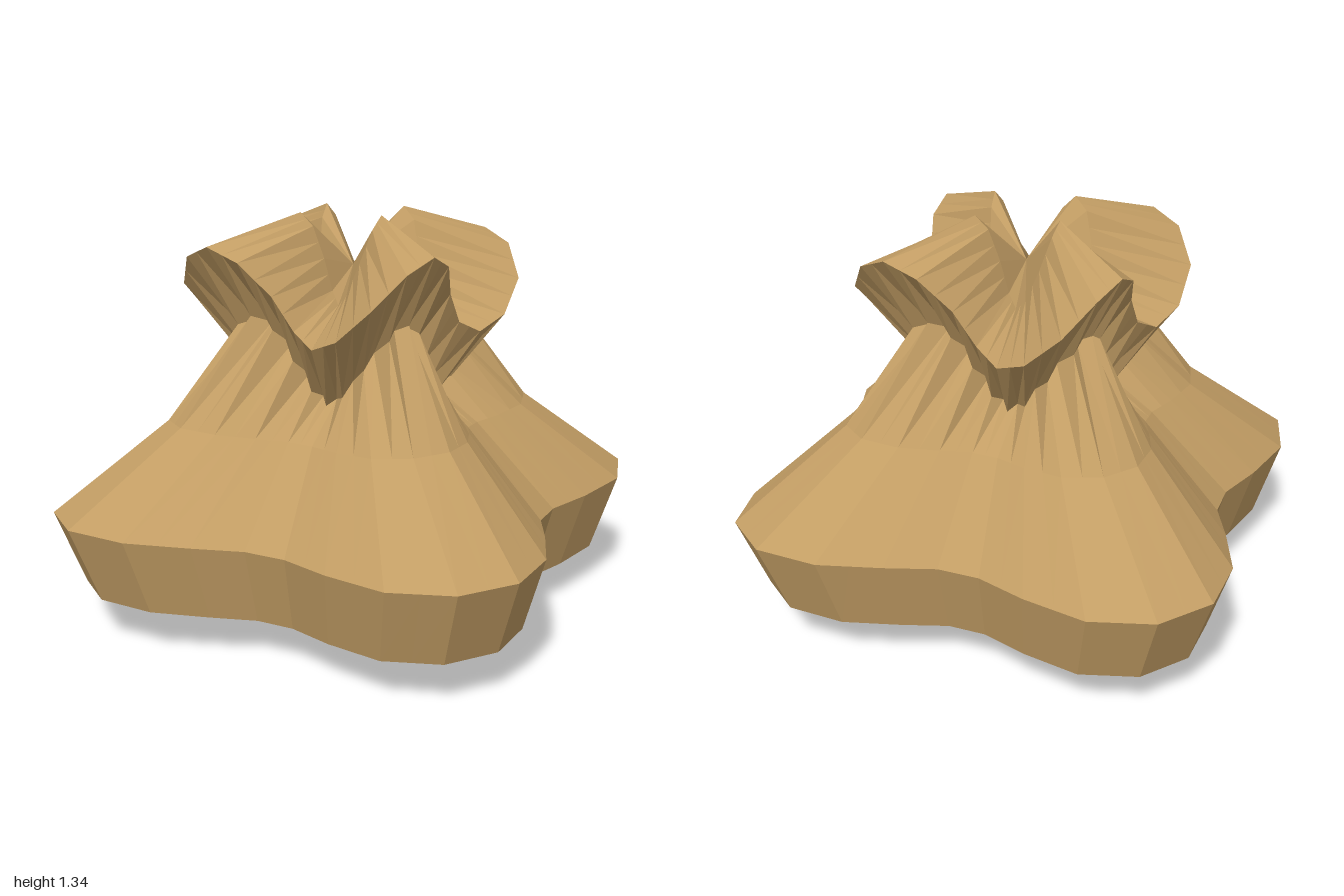
import * as THREE from 'three';

const STEPS = 32; // main folds around; each is halved for the pleats

// Four-fold ring: eight radii and eight heights repeat every quarter turn.
// Half-step points lie on the chord, pulled in by `pleat`.
function ring(radii, heights, pleat = 0) {
  const corner = (i) => {
    const a = (i / STEPS) * Math.PI * 2;
    const r = radii[i % 8];
    return new THREE.Vector3(r * Math.cos(a), heights[i % 8], r * Math.sin(a));
  };
  const points = [];
  for (let i = 0; i < STEPS; i++) {
    const p = corner(i);
    const mid = p.clone().lerp(corner((i + 1) % STEPS), 0.5);
    const k = 1 - pleat / Math.max(Math.hypot(mid.x, mid.z), 1e-6);
    if (pleat) mid.set(mid.x * k, mid.y, mid.z * k);
    points.push(p, mid);
  }
  return points;
}

const centre = (y) => new Array(STEPS * 2).fill(0).map(() => new THREE.Vector3(0, y, 0));

// Faceted skin through successive rings
function skin(name, rings, material) {
  const pos = [];
  const tri = (a, b, c) => {
    if (a.distanceTo(b) < 1e-6 || b.distanceTo(c) < 1e-6 || a.distanceTo(c) < 1e-6) return;
    for (const p of [a, b, c]) pos.push(p.x, p.y, p.z);
  };
  for (let k = 0; k < rings.length - 1; k++) {
    const lo = rings[k], hi = rings[k + 1], n = lo.length;
    for (let j = 0; j < n; j++) {
      const m = (j + 1) % n;
      tri(lo[j], hi[j], lo[m]);
      tri(lo[m], hi[j], hi[m]);
    }
  }
  const g = new THREE.BufferGeometry();
  g.setAttribute('position', new THREE.Float32BufferAttribute(pos, 3));
  g.computeVertexNormals();
  const mesh = new THREE.Mesh(g, material);
  mesh.name = name;
  return mesh;
}

export function createModel() {
  const group = new THREE.Group();
  group.name = 'tiedSack';
  const burlap = new THREE.MeshStandardMaterial({ color: 0xc29d64 });
  burlap.name = 'burlap';

  const lobes = [1, 1.01, 0.93, 0.79, 0.69, 0.685, 0.77, 0.9];
  const scaled = (s) => lobes.map((r) => r * s);
  // Height that rises on the lobes and sinks in the valleys
  const wave = (high, low) => lobes.map((_, i) =>
    (high + low) / 2 + ((high - low) / 2) * Math.cos((i / 4) * Math.PI));

  const base = ring(scaled(0.15), wave(0, 0));
  const lowerEdge = ring(scaled(0.905), wave(0.15, 0.13));
  const widest = ring(lobes, wave(0.4, 0.38));
  const shoulder = ring(scaled(0.62), wave(0.68, 0.655));
  const neck = ring([0.37, 0.39, 0.36, 0.33, 0.29, 0.28, 0.3, 0.33], wave(1.02, 0.75), 0.04);
  const rim = ring([0.515, 0.55, 0.555, 0.5, 0.43, 0.385, 0.395, 0.46], wave(1.25, 0.96));
  const mouth = ring([0.19, 0.21, 0.215, 0.2, 0.16, 0.14, 0.145, 0.165], wave(1.34, 1.05));

  group.add(
    skin('bottom', [centre(0), base, lowerEdge], burlap),
    skin('sideBand', [lowerEdge, widest], burlap),
    skin('shoulders', [widest, shoulder], burlap),
    skin('pleatedNeck', [shoulder, neck], burlap),
    skin('frillUnderside', [neck, rim], burlap),
    skin('frillTop', [rim, mouth], burlap),
    skin('gatheredMouth', [mouth, centre(1.16)], burlap),
  );
  return group;
}
